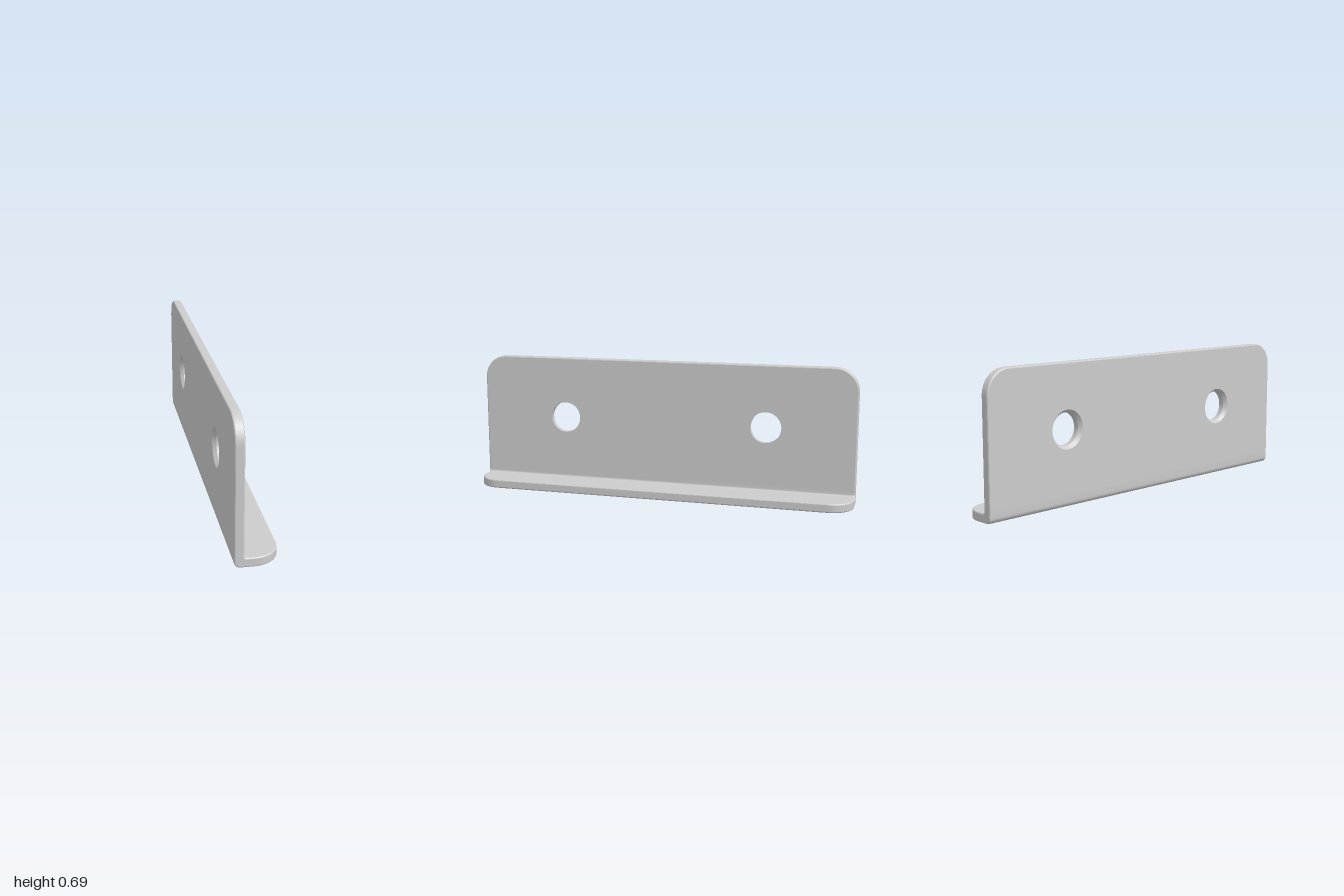
import * as THREE from 'three';
import { toCreasedNormals } from 'three/addons/utils/BufferGeometryUtils.js';

const T = 0.046;          // sheet thickness
const B = 0.008;          // edge rounding
const X0 = -0.107, X1 = 0.107, H = 0.694;
const HOLE = { z: 0.54, y: 0.375, r: 0.08, rBack: 0.095, sink: 0.018 };
const material = new THREE.MeshStandardMaterial({ color: 0xcccccc });

// Extrusion with rounded edges that stays within the drawn outline, from z = 0 to depth
function roundedExtrude(shape, depth) {
  const g = new THREE.ExtrudeGeometry(shape, {
    depth: depth - 2 * B, steps: 3, curveSegments: 24,
    bevelEnabled: true, bevelThickness: B, bevelSize: B, bevelOffset: -B, bevelSegments: 5,
  });
  return g.translate(0, 0, B);
}

// Two-unit-long sheet outline with its two far corners rounded
function sheetShape(near, far, r) {
  const s = new THREE.Shape();
  s.moveTo(-1, near);
  s.lineTo(1, near);
  s.lineTo(1, far - r);
  s.absarc(1 - r, far - r, r, 0, Math.PI / 2);
  s.lineTo(-1 + r, far);
  s.absarc(-1 + r, far - r, r, Math.PI / 2, Math.PI);
  return s;
}

function part(name, geometry) {
  const mesh = new THREE.Mesh(toCreasedNormals(geometry, 0.15), material);
  mesh.name = name;
  return mesh;
}

// Upright plate with two holes, countersunk from the outer (-x) face
function wallPlate() {
  const shape = sheetShape(0.052, H, 0.12);
  for (const side of [-1, 1]) {
    const hole = new THREE.Path();
    hole.absarc(side * HOLE.z, HOLE.y, HOLE.rBack - B, 0, Math.PI * 2, true);
    shape.holes.push(hole);
  }
  const g = roundedExtrude(shape, T);
  const p = g.attributes.position;
  for (let i = 0; i < p.count; i++) {
    const cx = Math.sign(p.getX(i)) * HOLE.z;
    const dx = p.getX(i) - cx, dy = p.getY(i) - HOLE.y;
    const d = Math.hypot(dx, dy);
    if (d > 0.12) continue;
    const t = Math.min(1, p.getZ(i) / HOLE.sink);
    const k = THREE.MathUtils.lerp(HOLE.rBack, HOLE.r, t) / d;
    p.setXY(i, cx + dx * k, HOLE.y + dy * k);
  }
  return part('wallPlate', g.rotateY(Math.PI / 2).translate(X0, 0, 0));
}

// Short horizontal lip with rounded outer corners
function bottomFlange() {
  const g = roundedExtrude(sheetShape(-0.056, X1, 0.12), T);
  g.applyMatrix4(new THREE.Matrix4().makeBasis(
    new THREE.Vector3(0, 0, 1), new THREE.Vector3(1, 0, 0), new THREE.Vector3(0, 1, 0)));
  return part('bottomFlange', g);
}

// Rounded fold joining plate and flange, overlapping both
function bend() {
  const R = 0.03, r = 0.012, xi = X0 + T, endX = -0.03, endY = 0.075;
  const s = new THREE.Shape();
  s.moveTo(X0 + R, 0);
  s.lineTo(endX, 0);
  s.lineTo(endX, T);
  s.lineTo(xi + r, T);
  s.absarc(xi + r, T + r, r, -Math.PI / 2, -Math.PI, true);
  s.lineTo(xi, endY);
  s.lineTo(X0, endY);
  s.lineTo(X0, R);
  s.absarc(X0 + R, R, R, Math.PI, Math.PI * 1.5);
  return part('bend', roundedExtrude(s, 2).translate(0, 0, -1));
}

export function createModel() {
  const group = new THREE.Group();
  group.name = 'angleBracket';
  group.add(wallPlate(), bottomFlange(), bend());
  return group;
}
